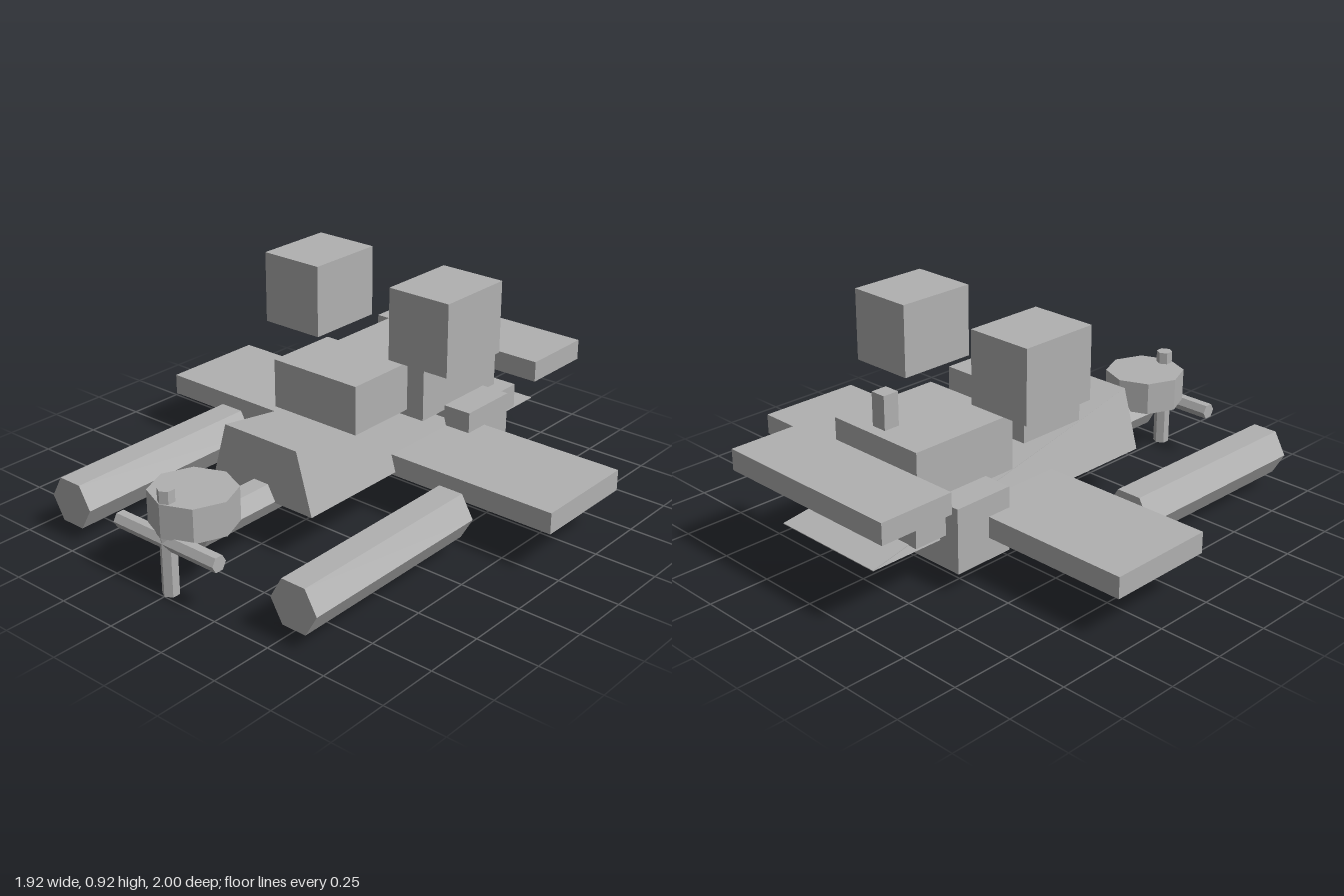
import * as THREE from 'three';

export function createModel() {
  const group = new THREE.Group();
  const grey = new THREE.MeshStandardMaterial({ color: 0xb0b0b0, flatShading: true });
  grey.name = 'plain grey';

  const add = (name, geometry) => {
    const mesh = new THREE.Mesh(geometry, grey);
    mesh.name = name;
    group.add(mesh);
    return mesh;
  };

  // Box given by its extents on each axis
  const box = (name, [x0, x1], [y0, y1], [z0, z1]) =>
    add(name, new THREE.BoxGeometry(x1 - x0, y1 - y0, z1 - z0)
      .translate((x0 + x1) / 2, (y0 + y1) / 2, (z0 + z1) / 2));

  // Body blocks
  box('wing', [-0.96, 0.96], [0.18, 0.265], [-0.438, 0.012]);
  box('lowerBody', [-0.342, 0.342], [0.09, 0.35], [-0.592, -0.333]);
  box('upperBody', [-0.22, 0.22], [0.33, 0.555], [-0.67, -0.193]);
  box('cockpit', [-0.203, 0.203], [0.403, 0.6], [-0.113, 0.195]);
  box('tailBlock', [-0.28, 0.28], [0.225, 0.325], [-0.735, -0.45]);
  box('tailplane', [-0.41, 0.41], [0.39, 0.475], [-1, -0.683]);
  box('antenna', [-0.078, -0.014], [0.6, 0.732], [-0.688, -0.622]);

  // Raised cubes on both sides
  for (const s of [-1, 1]) {
    const xs = [s * 0.178, s * 0.452].sort((a, b) => a - b);
    box(s > 0 ? 'leftPod' : 'rightPod', xs, [0.63, 0.92], [-0.36, -0.028]);
  }

  // Nose wedge: tall narrow-topped front, thinning to an edge at the tail
  const wedge = new THREE.BoxGeometry(0.5, 1, 1);
  const p = wedge.attributes.position;
  for (let i = 0; i < p.count; i++) {
    const front = p.getZ(i) > 0, top = p.getY(i) > 0;
    if (front && top) p.setX(i, Math.sign(p.getX(i)) * 0.178);
    p.setY(i, top ? (front ? 0.44 : 0.198) : 0.195);
    p.setZ(i, front ? 0.495 : -0.91);
  }
  wedge.computeVertexNormals();
  add('fuselageWedge', wedge);

  // Six-sided floats, tipped very slightly nose down
  for (const s of [-1, 1]) {
    const float = add(s > 0 ? 'leftFloat' : 'rightFloat',
      new THREE.CylinderGeometry(0.104, 0.104, 0.86, 6).rotateY(Math.PI / 2).rotateZ(0)
        .rotateX(Math.PI / 2).rotateZ(0));
    float.rotation.x = 0.008;
    float.position.set(s * 0.562, 0.158, 0.506);
  }

  // Shaft and eight-sided engine
  add('propellerShaft', new THREE.CylinderGeometry(0.07, 0.07, 0.45, 6)
    .rotateY(Math.PI / 2).rotateX(Math.PI / 2).translate(0, 0.2, 0.605));
  add('engine', new THREE.CylinderGeometry(0.165, 0.165, 0.135, 8).translate(0, 0.303, 0.838));

  // Crossed propeller blades
  add('verticalBlade', new THREE.CylinderGeometry(0.033, 0.033, 0.42, 6).translate(0, 0.21, 0.967));
  add('horizontalBlade', new THREE.CylinderGeometry(0.033, 0.033, 0.5, 6)
    .rotateZ(Math.PI / 2).translate(0, 0.213, 0.967));

  return group;
}
